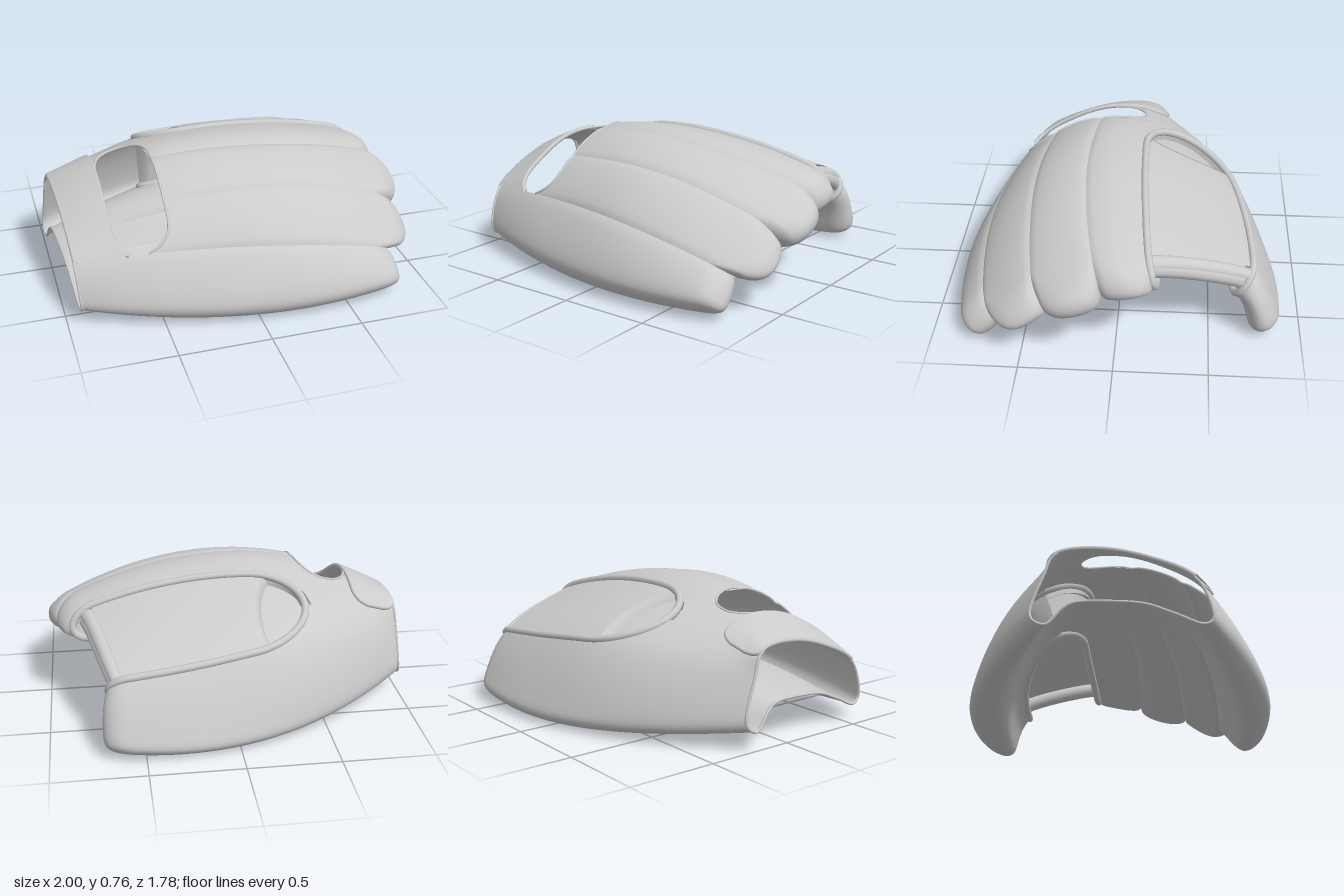
import * as THREE from 'three';

const material = new THREE.MeshStandardMaterial({ color: 0xcccccc, side: THREE.DoubleSide });

// Guide lines along the glove: [z], [y] at four x stations from wrist to tips.
// The back runs from little finger to thumb, the palm returns from thumb to little finger.
const BACK = [
  [[.58, .80, .88, .78], [.14, .11, .10, .10]],
  [[.51, .665, .75, .67], [.31, .385, .355, .17]],
  [[.28, .45, .49, .41], [.42, .59, .585, .37]],
  [[.05, .17, .19, .08], [.48, .705, .695, .51]],
  [[-.15, -.12, -.13, -.19], [.475, .67, .67, .50]],
  [[-.20, -.55, -.70, -.70], [.36, .46, .42, .35]],
  [[-.27, -.72, -.88, -.81], [.15, .08, .06, .14]],
];
const PALM = [
  [[-.20, -.57, -.71, -.74], [.09, .03, .005, .04]],
  [[-.12, -.38, -.59, -.62], [.17, .25, .25, .22]],
  [[-.05, -.13, -.19, -.22], [.205, .36, .44, .37]],
  [[.10, .13, .11, .04], [.205, .32, .38, .33]],
  [[.28, .33, .35, .33], [.185, .26, .28, .24]],
  [[.42, .53, .57, .55], [.13, .16, .16, .12]],
  [[.55, .69, .74, .68], [.085, .01, -.005, .02]],
];
const LINES = [...BACK, ...PALM];
const { lerp, clamp, smoothstep } = THREE.MathUtils;
const cubic = (a, b, c, d, t) =>
  b + 0.5 * t * (c - a + t * (2 * a - 5 * b + 4 * c - d + t * (3 * (b - c) + d - a)));

// Smooth curve through the four stations, with end points continued as an arc
function alongX([a, b, c, d], x) {
  const p = clamp((x + 1) / 0.65, 0, 3), i = Math.min(2, Math.floor(p));
  const k = [3 * a - 3 * b + c, a, b, c, d, 3 * d - 3 * c + b];
  return cubic(k[i], k[i + 1], k[i + 2], k[i + 3], p - i);
}

// Smooth closed cross-section, v = 0..14, flatter along the outside of the thumb
function ring(v, x) {
  const i = Math.floor(v), flat = i === 5 ? .65 * smoothstep(x, -.6, .2) : 0;
  return [0, 1].map(c => {
    const k = [-1, 0, 1, 2].map(n => alongX(LINES[(i + n + 28) % 14][c], x));
    return lerp(cubic(...k, v - i), lerp(k[1], k[2], v - i), flat);
  });
}

// Position across the hand, the same for a back point and its palm partner
function across(v) {
  const m = v % 14;
  return m >= 13.5 ? m - 14 : m > 6.5 ? 13 - m : m;
}

// Fingers: range across the hand, tip x, x of the rounded corners on each side
const FINGERS = {
  little: { lo: -.5, hi: 1, tip: .82, a: .74, b: .78 },
  ring: { lo: 1, hi: 2, tip: .95, a: .80, b: .88 },
  middle: { lo: 2, hi: 3, tip: .995, a: .88, b: .90 },
  index: { lo: 3, hi: 4, tip: .94, a: .90, b: .85 },
  thumb: { lo: 5, hi: 6.5, tip: .72, a: .68, b: .56 },
};
function endX(f, g) {
  const w = clamp((2 * g - f.lo - f.hi) / (f.hi - f.lo), -1, 1);
  return f.tip - (f.tip - (w < 0 ? f.a : f.b)) * (1 - Math.sqrt(1 - w * w));
}
const wristX = g => -0.92 - 0.08 * (g + 0.5) / 7;

// Surface point: seams pressed in, closed towards the mid-layer at the tip
function point(v, x, end = 9, offset = 0) {
  const g = across(v), p = ring(v, x), e = ring(v + 0.02, x), q = ring(27 - v, x);
  const dz = e[0] - p[0], dy = e[1] - p[1], len = Math.hypot(dz, dy) || 1;
  const puff = g < .5 || g > 3.5 ? 1 : Math.abs(Math.sin(Math.PI * g)) ** .35;
  const pad = (puff - 1) * 0.015 * smoothstep(x, -.9, -.1) + 0.006 + offset;
  const t = clamp((end - x) / 0.12, 0, 1), s = Math.sqrt(1 - (1 - t) ** 2.3);
  const close = (c, n) => lerp((p[c] + q[c]) / 2, p[c] + n * pad, s);
  return new THREE.Vector3(x, close(1, -dz / len) + 0.01, close(0, dy / len));
}

// Grid surface from a function of (u, t)
function sheet(name, fn, nu, nv) {
  const pos = [], index = [];
  for (let i = 0; i <= nu; i++) for (let j = 0; j <= nv; j++) {
    pos.push(...fn(i / nu, j / nv).toArray());
    if (i < nu && j < nv) {
      const a = i * (nv + 1) + j, b = a + nv + 1;
      index.push(a, b, a + 1, b, b + 1, a + 1);
    }
  }
  const geo = new THREE.BufferGeometry();
  geo.setAttribute('position', new THREE.Float32BufferAttribute(pos, 3));
  geo.setIndex(index);
  geo.computeVertexNormals();
  const mesh = new THREE.Mesh(geo, material);
  mesh.name = name;
  return mesh;
}
function cord(name, points, radius) {
  const path = new THREE.CatmullRomCurve3(points);
  const mesh = new THREE.Mesh(new THREE.TubeGeometry(path, points.length * 2, radius, 8), material);
  mesh.name = name;
  return mesh;
}
const steps = (n, fn) => Array.from({ length: n + 1 }, (_, i) => fn(i / n));

// Half width of the web opening, and the edges of the hole in the back of the hand
const WEB = -0.42;
const webHalf = x => x <= WEB ? 0 : x > -.1 ? .5 : .5 * Math.sqrt(1 - ((-.1 - x) / .32) ** 2);
const holeEdge = x => 3 + .9 * Math.sqrt(Math.max(0, 1 - Math.abs((x + .58) / .15) ** 2.5));
const fillet = g => .13 * Math.max(0, 2 - g) ** 5;
const holeFront = g => -.43 - fillet(g);

function fingerSheet(name, f, startX, vA, vB, nv = 16) {
  return sheet(name, (u, t) => {
    const k = Math.sin(u * Math.PI / 2), x0 = lerp(startX(f.lo), f.tip, k);
    const v = lerp(vA(x0), vB(x0), t), g = across(v), end = endX(f, g);
    return point(v, lerp(startX(g), end, k), end);
  }, 110, nv);
}

export function createModel() {
  const group = new THREE.Group();
  group.name = 'fieldingGlove';
  const F = FINGERS, c = n => () => n;

  // Fingers: back and palm skins
  group.add(
    fingerSheet('littleFinger', F.little, wristX, c(12), c(15), 36),
    fingerSheet('ringFingerBack', F.ring, holeFront, c(1), c(2)),
    fingerSheet('ringFingerPalm', F.ring, wristX, c(11), c(12)),
    fingerSheet('middleFingerBack', F.middle, holeFront, c(2), c(3)),
    fingerSheet('middleFingerPalm', F.middle, wristX, c(10), c(11)),
    fingerSheet('indexFingerBack', F.index, wristX, holeEdge, x => 4.5 - webHalf(x)),
    fingerSheet('indexFingerPalm', F.index, wristX, x => 8.5 + webHalf(x), c(10)),
    fingerSheet('thumb', F.thumb, wristX, x => 4.5 + webHalf(x), x => 8.5 - webHalf(x), 40),
  );

  // Web opening: side walls, and one piped rim round both faces
  const edge = (f, sign, u, palm) => {
    const k = Math.sin(u * Math.PI / 2);
    const g = 4.5 + sign * webHalf(lerp(WEB, f.tip, k)), end = endX(f, g);
    return point(palm ? 13 - g : g, lerp(WEB, end, k), end);
  };
  const wall = (name, f, sign) => sheet(name, (u, t) =>
    edge(f, sign, u, false).lerp(edge(f, sign, u, true), t), 70, 4);
  const run = (f, sign, palm) => steps(40, u => edge(f, sign, u * u * (2 - u), palm));
  group.add(
    wall('indexWebWall', F.index, -1),
    wall('thumbWebWall', F.thumb, 1),
    cord('webRim', [
      ...run(F.index, -1, false).reverse(),
      ...run(F.thumb, 1, false).slice(1),
      ...run(F.thumb, 1, true).reverse().slice(1),
      ...run(F.index, -1, true).slice(1),
    ], 0.021),
  );

  // Web: recessed backing, raised panel and the roll across its open end
  const webEnd = t => lerp(.81, .66, t);
  const webPoint = (x, t, offset) => {
    const h = Math.max(webHalf(x), .02);
    return point(lerp(4.5 - h, 4.5 + h, t), x, 9, offset);
  };
  group.add(
    sheet('webBacking', (u, t) => webPoint(lerp(WEB, webEnd(t), u), t, -.05), 50, 20),
    sheet('webPanel', (u, t) => {
      const front = -.25 + .08 * Math.sin(Math.PI * t * .8);
      return webPoint(lerp(front, webEnd(t) - .06, u), t, -.05 + .045 * Math.min(1, 50 * u));
    }, 50, 20),
    sheet('webEndBand', (u, t) => {
      const a = u * Math.PI;
      return webPoint(webEnd(t) - .03 - .035 * Math.cos(a), t, -.035 + .03 * Math.sin(a));
    }, 8, 20),
    cord('webEndRoll', steps(16, t => webPoint(webEnd(t) - .03, t, -.08)), 0.045),
  );

  // Wrist strap over the back, rounded at its thumb end
  const strapPoint = (u, t, offset) => {
    const v = lerp(1, 4.42, t), k = clamp((v - 4.02) / .4, 0, 1);
    const a = wristX(v) + .005, b = -.735 + fillet(v) * .6;
    const half = (b - a) / 2 * (.35 + .65 * Math.sqrt(1 - k * k));
    return point(v, (a + b) / 2 + half * (2 * u - 1), 9, offset);
  };
  group.add(
    sheet('strapOuter', (u, t) => strapPoint(u, t, .018), 10, 60),
    sheet('strapInner', (u, t) => strapPoint(u, t, -.008), 10, 60),
    cord('strapEdge', [
      ...steps(40, t => strapPoint(0, t, .005)),
      ...steps(6, u => strapPoint(u, 1, .005)).slice(1, -1),
      ...steps(40, t => strapPoint(1, 1 - t, .005)),
    ], 0.013),
  );

  // Bound edges of the wrist opening and of the hand hole
  group.add(cord('wristBinding', steps(60, t => {
    const v = lerp(4, 15, t);
    return point(v, wristX(across(v)));
  }), 0.008));
  group.add(cord('handHoleBinding', [
    ...steps(16, t => point(1 + 2 * t, holeFront(1 + 2 * t))),
    ...steps(20, t => {
      const x = -.58 + .15 * Math.cos(t * Math.PI);
      return point(holeEdge(x), x);
    }).slice(1),
  ], 0.007));
  return group;
}
